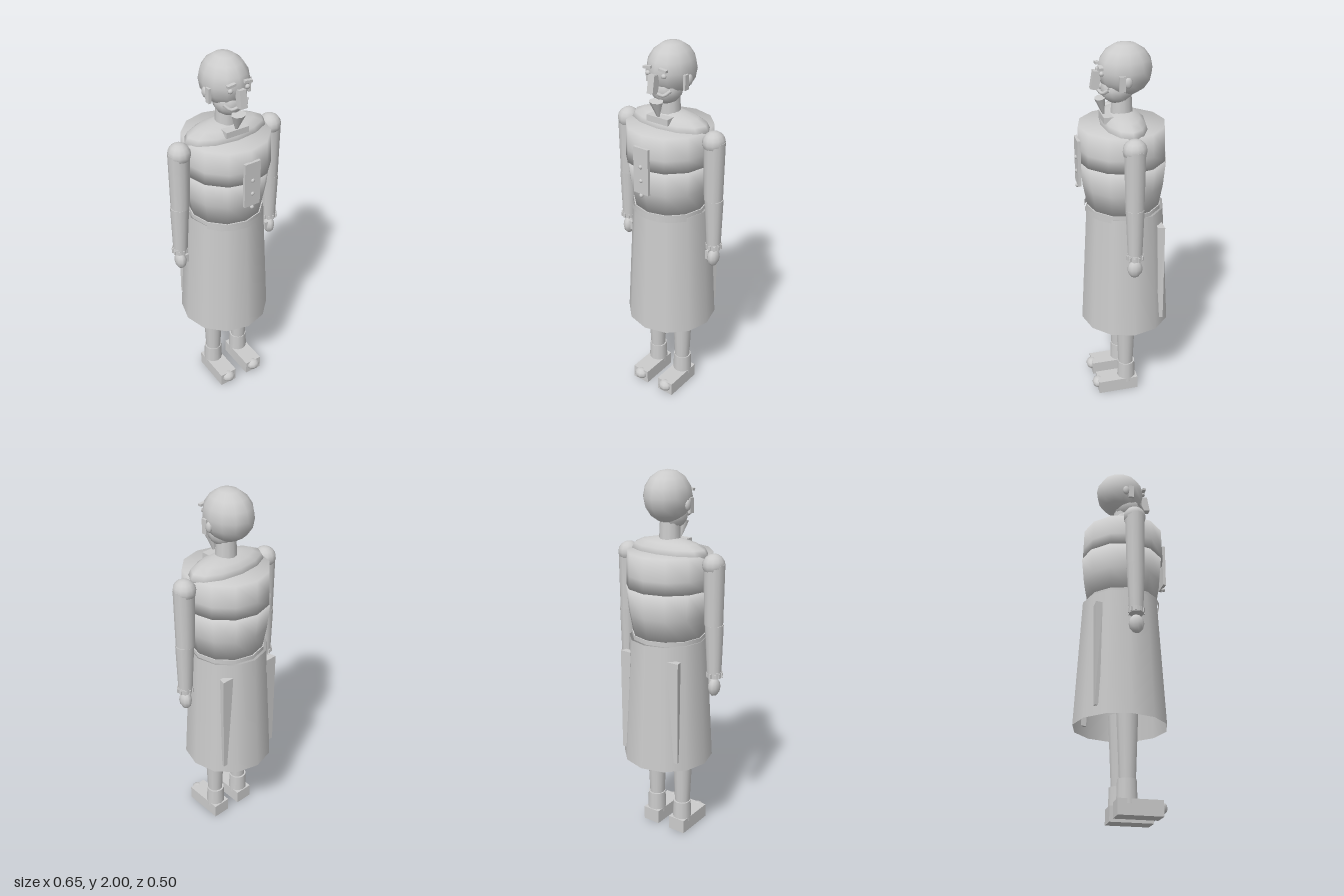
import * as THREE from 'three';

const smooth = new THREE.MeshStandardMaterial({ color: 0xcccccc, side: THREE.DoubleSide });
const flat = new THREE.MeshStandardMaterial({ color: 0xcccccc, flatShading: true });

export function createModel() {
  const model = new THREE.Group();
  model.name = 'standingFigure';

  function add(name, geometry, x, y, z, material = smooth) {
    const mesh = new THREE.Mesh(geometry, material);
    mesh.name = name;
    mesh.position.set(x, y, z);
    model.add(mesh);
    return mesh;
  }
  const box = (name, w, h, d, x, y, z) => add(name, new THREE.BoxGeometry(w, h, d), x, y, z, flat);
  function ball(name, rx, ry, rz, x, y, z, sides = 12) {
    const mesh = add(name, new THREE.SphereGeometry(1, sides, Math.max(6, sides - 4)), x, y, z);
    mesh.scale.set(rx, ry, rz);
    return mesh;
  }
  // Tapered round section between two heights
  function column(name, rTop, rBottom, yTop, yBottom, x, z, open = false) {
    const geo = new THREE.CylinderGeometry(rTop, rBottom, yTop - yBottom, 12, 1, open);
    return add(name, geo, x, (yTop + yBottom) / 2, z);
  }
  const lathe = (name, points, z) =>
    add(name, new THREE.LatheGeometry(points.map(p => new THREE.Vector2(...p)), 12), 0, 0, z);

  // Coat: open skirt, lower body, chest and shoulder yoke
  column('coatSkirt', 0.205, 0.244, 1.145, 0.46, 0, -0.006, true);
  lathe('coatWaist', [[0, 1.15], [0.19, 1.16], [0.212, 1.28], [0.225, 1.415], [0, 1.415]], 0.003);
  lathe('coatChest', [[0, 1.415], [0.227, 1.415], [0.225, 1.48], [0.221, 1.595], [0, 1.595]], 0.01);
  ball('shoulderYoke', 0.23, 0.072, 0.113, 0, 1.594, 0.005);

  // Belt with a lower band across the front
  column('belt', 0.197, 0.197, 1.165, 1.143, 0, 0.003);
  const band = new THREE.CylinderGeometry(0.203, 0.203, 0.028, 6, 1, true, -Math.PI / 3, Math.PI * 2 / 3);
  add('beltFrontBand', band, 0, 1.143, 0.003);

  // Button panel
  box('buttonPanel', 0.09, 0.245, 0.016, 0, 1.412, 0.236);
  for (const y of [1.435, 1.36, 1.28]) ball('button', 0.011, 0.011, 0.011, 0, y, 0.242, 8);

  // Neck and bow
  column('neck', 0.05, 0.058, 1.76, 1.6, 0, 0.01);
  box('neckBow', 0.128, 0.032, 0.05, 0, 1.635, 0.088);

  // Head
  ball('cranium', 0.118, 0.13, 0.137, 0, 1.87, -0.007);
  ball('jaw', 0.077, 0.075, 0.083, 0, 1.777, 0.032);
  const nose = box('nose', 0.036, 0.09, 0.04, 0, 1.825, 0.139);
  nose.rotation.x = -0.17;
  const beard = add('goatee', new THREE.ConeGeometry(0.04, 0.105, 8), 0, 1.683, 0.108);
  beard.rotation.x = Math.PI + 0.2;
  beard.scale.z = 0.7;
  const tache = new THREE.CatmullRomCurve3([
    [-0.065, 1.79, 0.088], [-0.04, 1.768, 0.115], [0, 1.782, 0.13], [0.04, 1.768, 0.115], [0.065, 1.79, 0.088]
  ].map(p => new THREE.Vector3(...p)));
  add('moustache', new THREE.TubeGeometry(tache, 12, 0.009, 6), 0, 0, 0);

  for (const s of [-1, 1]) {
    // Face details
    ball('eye', 0.014, 0.012, 0.012, s * 0.047, 1.865, 0.118, 8);
    box('eyebrow', 0.044, 0.012, 0.02, s * 0.046, 1.895, 0.122).rotation.z = -s * 0.12;
    ball('ear', 0.013, 0.027, 0.02, s * 0.113, 1.833, 0.003, 8);
    box('sideburn', 0.014, 0.075, 0.03, s * 0.112, 1.828, 0.032);

    // Arms
    ball('shoulder', 0.057, 0.057, 0.06, s * 0.266, 1.555, 0.01);
    column('upperArm', 0.054, 0.048, 1.56, 1.25, s * 0.271, 0.01).rotation.z = s * 0.01;
    column('forearm', 0.048, 0.037, 1.25, 0.975, s * 0.279, 0.01).rotation.z = s * 0.02;
    column('cuff', 0.038, 0.038, 1.0, 0.97, s * 0.284, 0.01);
    for (let i = 0; i < 10; i++) {
      const a = i * Math.PI / 5;
      box('cuffStud', 0.01, 0.024, 0.01, s * 0.284 + Math.sin(a) * 0.038, 0.983, 0.01 + Math.cos(a) * 0.038)
        .rotation.y = a;
    }
    ball('hand', 0.03, 0.05, 0.04, s * 0.284, 0.914, 0.01, 10);
    box('thumb', 0.018, 0.048, 0.02, s * 0.255, 0.924, 0.022);

    // Legs and shoes
    column('leg', 0.058, 0.042, 0.55, 0.17, s * 0.088, 0.01);
    column('ankle', 0.049, 0.053, 0.177, 0.055, s * 0.088, 0.007);
    box('shoe', 0.1, 0.078, 0.225, s * 0.088, 0.039, 0.063);
    ball('toeCap', 0.04, 0.033, 0.036, s * 0.088, 0.048, 0.17, 10);

    // Coat tails: thin wedges narrowing downwards
    const tail = new THREE.BoxGeometry(1, 0.56, 0.036);
    const pos = tail.attributes.position;
    for (let i = 0; i < pos.count; i++) {
      const top = pos.getY(i) > 0, outer = pos.getX(i) * s > 0, back = pos.getZ(i) < 0;
      const x = outer ? (back ? 0.184 : 0.176) : (top ? 0.118 : 0.155);
      pos.setX(i, s * x);
      if (!top && !back) pos.setZ(i, 0.008);
    }
    tail.computeVertexNormals();
    add('coatTail', tail, 0, 0.79, -0.158, flat);
  }
  return model;
}
